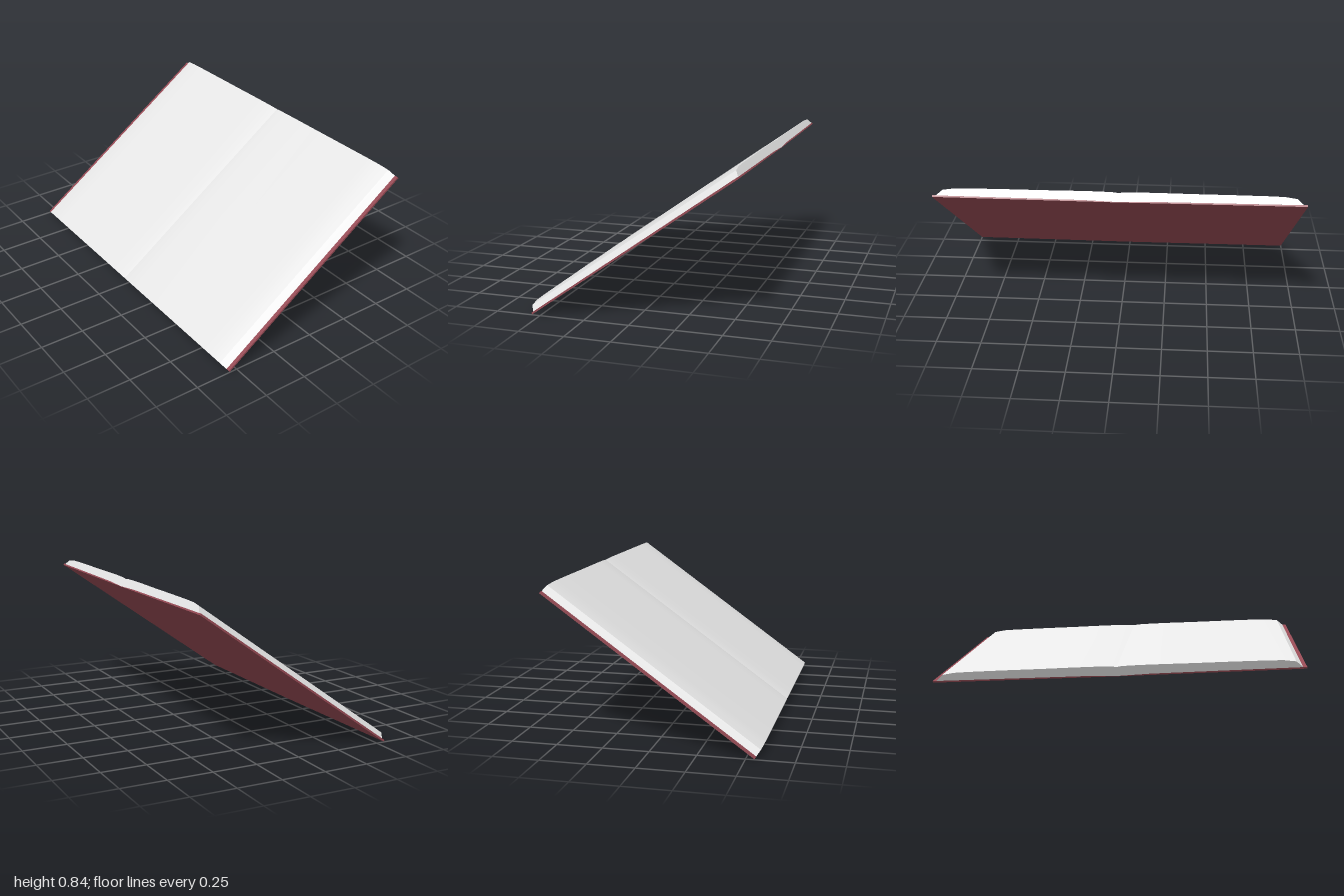
import * as THREE from 'three';
import { toCreasedNormals } from 'three/addons/utils/BufferGeometryUtils.js';

const TILT = 0.62; // slope of the open book
const LENGTH = 1.37;

// Extrude a cross-section along the book's height, centred on z
function slab(points, length) {
  const shape = new THREE.Shape(points.map(([x, y]) => new THREE.Vector2(x, y)));
  const geo = new THREE.ExtrudeGeometry(shape, { depth: length, bevelEnabled: false });
  geo.translate(0, 0, -length / 2);
  return toCreasedNormals(geo, 0.3);
}

export function createModel() {
  const coverMat = new THREE.MeshStandardMaterial({ color: 0x964a54 });
  coverMat.name = 'coverRed';
  const pageMat = new THREE.MeshStandardMaterial({ color: 0xe6e6e6 });
  pageMat.name = 'pageWhite';

  const model = new THREE.Group();
  model.name = 'openBook';
  const book = new THREE.Group();
  book.name = 'tiltedBook';
  book.rotation.x = TILT;
  book.position.set(0, 0.398, -0.0145);
  model.add(book);

  // Half profiles, outer edge on +x, spine at x = 0
  const coverHalf = [[0, 0], [1, 0.003], [1, 0.013], [0.2, 0.009], [0, 0.004]];
  const pageHalf = [[0, 0.002], [0.18, 0.008], [0.98, 0.012], [0.945, 0.044], [0.88, 0.053],
    [0.8, 0.055], [0.6, 0.056], [0.4, 0.056], [0.25, 0.057], [0.12, 0.057], [0.03, 0.055], [0, 0.051]];

  for (const [side, name] of [[1, 'left'], [-1, 'right']]) {
    const place = (half, length, mat, part) => {
      const pts = half.map(([x, y]) => [x * side, y]);
      const mesh = new THREE.Mesh(slab(pts, length), mat);
      mesh.name = name + part;
      book.add(mesh);
    };
    place(coverHalf, LENGTH, coverMat, 'Cover');
    place(pageHalf, LENGTH + 0.001, pageMat, 'Pages');
  }
  return model;
}
